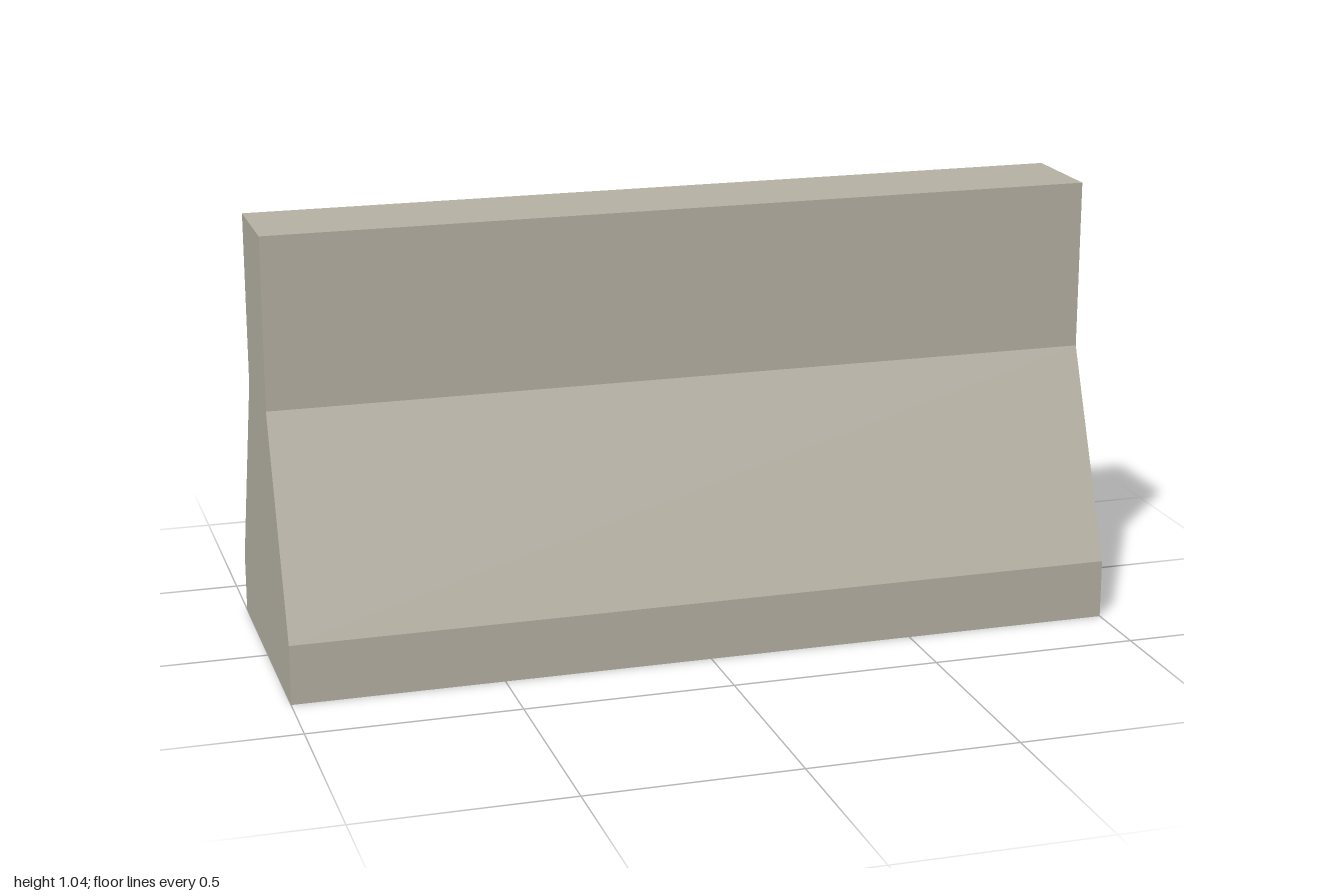
import * as THREE from 'three';

// Cross-section [z, y] from the front foot, over the top, to the back foot
const half = [[0.325, 0], [0.325, 0.143], [0.123, 0.637], [0.123, 1.045]];
const profile = [...half, ...half.map(([z, y]) => [-z, y]).reverse()];
const panelNames = ['frontFoot', 'frontSlope', 'frontWall', 'top', 'backWall', 'backSlope', 'backFoot'];

// Flat rectangular panel spanning the full length between two profile points
function panelGeometry([z0, y0], [z1, y1]) {
  const geometry = new THREE.BufferGeometry();
  geometry.setAttribute('position', new THREE.Float32BufferAttribute(
    [-1, y0, z0, 1, y0, z0, 1, y1, z1, -1, y1, z1], 3));
  geometry.setIndex([0, 1, 2, 0, 2, 3]);
  geometry.computeVertexNormals();
  return geometry;
}

export function createModel() {
  const model = new THREE.Group();
  model.name = 'roadBarrier';
  const concrete = new THREE.MeshStandardMaterial({ color: 0xb8b3a6, side: THREE.DoubleSide });
  concrete.name = 'concrete';

  const add = (name, geometry) => {
    const mesh = new THREE.Mesh(geometry, concrete);
    mesh.name = name;
    model.add(mesh);
    return mesh;
  };

  // Long panels; the underside stays open, so the shell is hollow
  panelNames.forEach((name, i) => add(name, panelGeometry(profile[i], profile[i + 1])));

  // End walls
  const outline = new THREE.Shape(profile.map(([z, y]) => new THREE.Vector2(z, y)));
  for (const side of [1, -1]) {
    const end = add(side > 0 ? 'leftEnd' : 'rightEnd', new THREE.ShapeGeometry(outline));
    end.rotation.y = side * Math.PI / 2;
    end.position.x = side;
  }
  return model;
}
